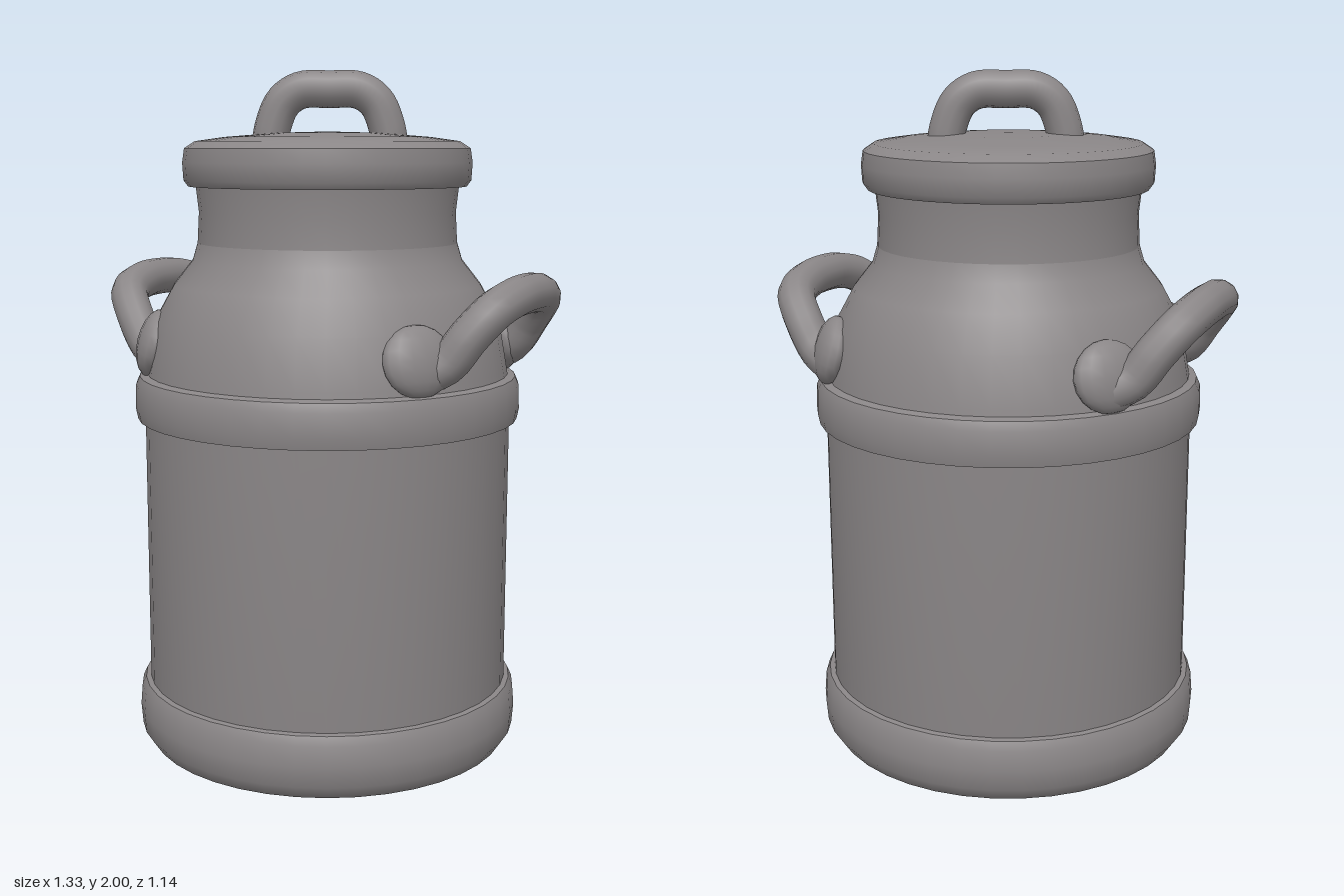
import * as THREE from 'three';
import { toCreasedNormals } from 'three/addons/utils/BufferGeometryUtils.js';

export function createModel() {
  const model = new THREE.Group();
  const metal = new THREE.MeshStandardMaterial({ color: 0x8a8687 });
  metal.name = 'grey metal';

  function add(name, geometry, parent = model) {
    const mesh = new THREE.Mesh(geometry, metal);
    mesh.name = name;
    parent.add(mesh);
    return mesh;
  }

  // Turned part from [radius, height] pairs, listed bottom to top
  function turned(name, profile) {
    const points = profile.map(([r, y]) => new THREE.Vector2(r, y));
    return add(name, toCreasedNormals(new THREE.LatheGeometry(points, 40), 0.8));
  }

  // Round bar bent along a smooth path
  function bar(name, points, radius, parent) {
    const path = new THREE.CatmullRomCurve3(points.map((p) => new THREE.Vector3(...p)), false, 'centripetal');
    return add(name, new THREE.TubeGeometry(path, 40, radius, 12), parent);
  }

  // Can
  turned('body', [[0.53, 0.1], [0.54, 0.2], [0.54, 1.06]]);
  turned('baseBand', [
    [0, 0.03], [0.2, 0.025], [0.25, 0.01], [0.5, 0.005], [0.54, 0.02], [0.567, 0.06],
    [0.572, 0.12], [0.567, 0.18], [0.555, 0.205], [0.53, 0.21],
  ]);
  turned('shoulderBand', [[0.53, 1.0], [0.562, 1.0], [0.568, 1.03], [0.566, 1.1], [0.555, 1.125], [0.52, 1.135]]);
  turned('shoulder', [[0.538, 1.1], [0.53, 1.15], [0.505, 1.29], [0.45, 1.39], [0.395, 1.46], [0.38, 1.51]]);
  turned('neck', [[0.38, 1.51], [0.375, 1.6], [0.385, 1.69]]);

  // Lid
  turned('lid', [
    [0.36, 1.675], [0.405, 1.672], [0.418, 1.69], [0.421, 1.74], [0.415, 1.78],
    [0.385, 1.8], [0.3, 1.812], [0.15, 1.824], [0, 1.828],
  ]);
  const lidHandle = bar('lidHandle', [
    [-0.175, 1.78, 0], [-0.165, 1.84, 0], [-0.135, 1.91, 0], [-0.085, 1.944, 0], [0, 1.947, 0],
    [0.085, 1.944, 0], [0.135, 1.91, 0], [0.165, 1.84, 0], [0.175, 1.78, 0],
  ], 0.053);
  lidHandle.position.set(0.01, 0, 0.005);
  lidHandle.rotation.y = 0.42;

  // Side handles with flattened mounting pads
  for (const side of [1, -1]) {
    const group = new THREE.Group();
    group.name = side > 0 ? 'leftHandle' : 'rightHandle';
    bar('grip', [
      [0.42, 1.18, -0.31], [0.48, 1.21, -0.285], [0.535, 1.285, -0.265], [0.585, 1.35, -0.22],
      [0.607, 1.378, -0.12], [0.611, 1.384, -0.02], [0.607, 1.378, 0.08], [0.585, 1.35, 0.17],
      [0.535, 1.285, 0.215], [0.48, 1.21, 0.235], [0.42, 1.18, 0.26],
    ], 0.056, group);
    for (const [z, turn] of [[0.29, -0.58], [-0.31, 0.62]]) {
      const pad = add('handlePad', new THREE.SphereGeometry(1, 16, 10), group);
      pad.scale.set(0.05, 0.1, 0.11);
      pad.position.set(0.42, 1.22, z);
      pad.rotation.set(0, turn, 0.25);
    }
    // The far handle mirrors the near one, keeping the faces outward
    if (side < 0) {
      group.children.forEach((mesh) => {
        if (mesh.name === 'grip') {
          mesh.geometry.rotateY(Math.PI);
          mesh.geometry.translate(0, 0, -0.05);
        } else {
          mesh.position.x *= -1;
          mesh.rotation.y *= -1;
          mesh.rotation.z *= -1;
        }
      });
    }
    model.add(group);
  }
  return model;
}
